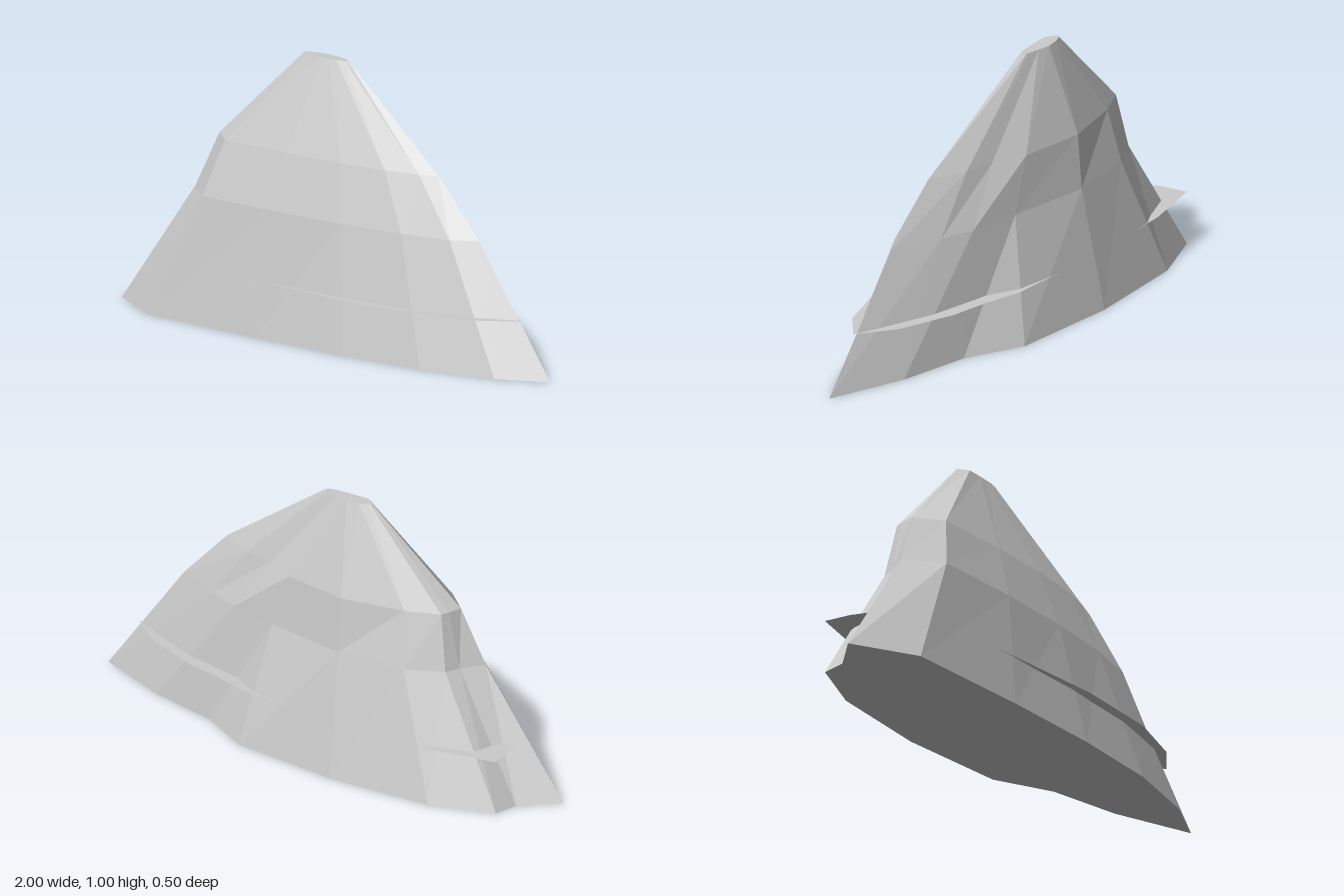
import * as THREE from 'three';

const grey = new THREE.MeshStandardMaterial({ color: 0xcccccc, flatShading: true, side: THREE.DoubleSide });

// Contours run from the +x tip, along the front, round the -x end and along the back: [x, z]
const contours = [
  { y: 0, pts: [[1, 0], [.82, .1], [.53, .18], [.18, .22], [-.23, .24], [-.75, .245], [-1, .12],
    [-.885, -.005], [-.87, -.1], [-.64, -.2], [-.23, -.25], [.2, -.238], [.42, -.14], [.7, -.097]] },
  { y: .456, pts: [[.65, 0], [.56, .06], [.37, .11], [.11, .15], [-.19, .175], [-.54, .185], [-.67, .085],
    [-.62, 0], [-.6, -.055], [-.47, -.13], [-.2, -.17], [.13, -.137], [.33, -.11], [.46, -.07]] },
  { y: .66, pts: [[.45, 0], [.38, .03], [.25, .07], [.06, .1], [-.18, .12], [-.48, .13], [-.58, .055],
    [-.57, 0], [-.56, -.03], [-.44, -.09], [-.2, -.152], [.06, -.13], [.19, -.08], [.31, -.06]] },
  { y: .995, pts: [[-.03, -.035], [-.04, -.022], [-.07, -.014], [-.1, -.01], [-.14, -.005], [-.2, 0], [-.24, -.025],
    [-.235, -.035], [-.23, -.04], [-.2, -.052], [-.15, -.062], [-.1, -.055], [-.07, -.05], [-.045, -.045]] },
];

// Flat horizontal sheet from an [x, z] outline
function sheet(name, pts, y) {
  const shape = new THREE.Shape(pts.map(([x, z]) => new THREE.Vector2(x, -z)));
  const geo = new THREE.ShapeGeometry(shape).rotateX(-Math.PI / 2).translate(0, y, 0);
  const mesh = new THREE.Mesh(geo, grey);
  mesh.name = name;
  return mesh;
}

// Faceted flanks joining each contour to the one above
function flanks() {
  const pos = [];
  for (let r = 0; r < contours.length - 1; r++) {
    const lo = contours[r], hi = contours[r + 1], n = lo.pts.length;
    const at = (ring, i) => [ring.pts[i % n][0], ring.y, ring.pts[i % n][1]];
    for (let i = 0; i < n; i++) {
      pos.push(...at(lo, i), ...at(hi, i), ...at(lo, i + 1));
      pos.push(...at(lo, i + 1), ...at(hi, i), ...at(hi, i + 1));
    }
  }
  const geo = new THREE.BufferGeometry();
  geo.setAttribute('position', new THREE.Float32BufferAttribute(pos, 3));
  geo.computeVertexNormals();
  const mesh = new THREE.Mesh(geo, grey);
  mesh.name = 'rockFlanks';
  return mesh;
}

export function createModel() {
  const group = new THREE.Group();
  group.name = 'rock';
  const base = contours[0], top = contours[contours.length - 1];
  group.add(flanks(), sheet('rockBase', base.pts, base.y), sheet('rockSummit', top.pts, top.y));

  // Thin ledge poking out of the slopes
  group.add(sheet('ledge', [[.86, .005], [.75, .1], [.53, .18], [.2, .218], [-.25, .215], [-.5, .2], [-.7, .1],
    [-.82, .07], [-.85, 0], [-.87, -.1], [-.63, -.165], [-.38, -.19], [-.1, -.21], [.2, -.212],
    [.35, -.18], [.5, -.16], [.72, -.09]], .2));
  return group;
}
